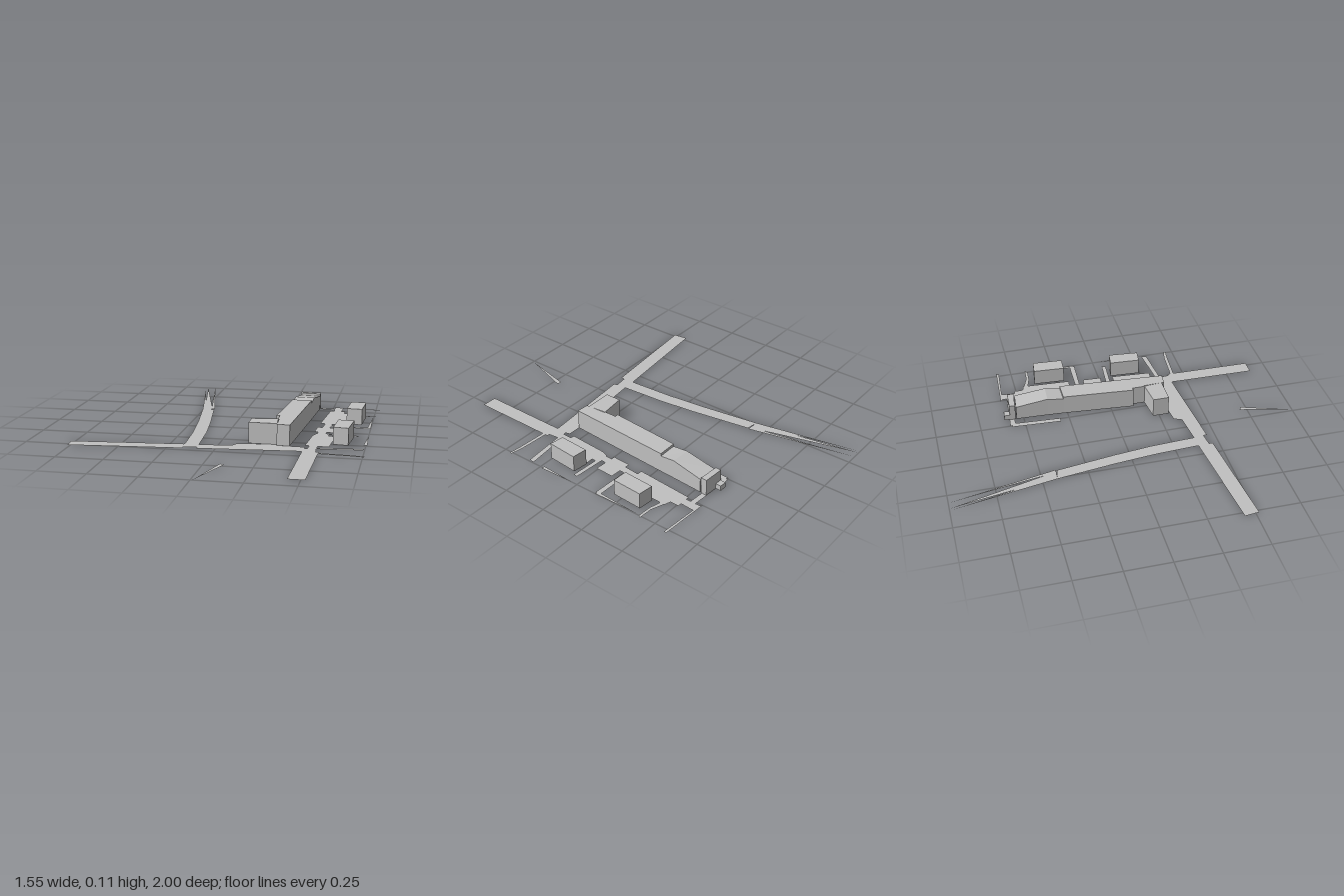
import * as THREE from 'three';

const concrete = new THREE.MeshStandardMaterial({ color: 0xc0c0c0, side: THREE.DoubleSide });
concrete.name = 'pale grey';

// Outline of [x, z] corners, turned counter-clockwise seen from above; optional third value is the roof height
function ordered(corners) {
  const flat = corners.map(([x, z]) => new THREE.Vector2(x, -z));
  return THREE.ShapeUtils.isClockWise(flat) ? [...corners].reverse() : corners;
}

// Solid with upright walls, a roof through the corner heights and an open base; height 0 gives a flat sheet
function block(name, corners, height = 0) {
  const c = ordered(corners).map(([x, z, h = height]) => [x, z, h]);
  const pos = [];
  const put = (p, y) => pos.push(p[0], y, p[1]);
  const faces = THREE.ShapeUtils.triangulateShape(c.map(([x, z]) => new THREE.Vector2(x, -z)), []);
  faces.flat().forEach(i => put(c[i], c[i][2]));
  c.forEach((a, i) => {
    const b = c[(i + 1) % c.length];
    if (a[2] + b[2] === 0) return;
    put(a, 0); put(b, 0); put(b, b[2]);
    put(a, 0); put(b, b[2]); put(a, a[2]);
  });
  const geo = new THREE.BufferGeometry();
  geo.setAttribute('position', new THREE.Float32BufferAttribute(pos, 3));
  geo.computeVertexNormals();
  const mesh = new THREE.Mesh(geo, concrete);
  mesh.name = name;
  return mesh;
}

function group(name, children) {
  const g = new THREE.Group();
  g.name = name;
  g.add(...children);
  return g;
}

export function createModel() {
  // Long hall with a sloping rear roof, a side annex and a small rear shed
  const hall = group('hall', [
    block('mainHall', [[0.265, 0.13], [0.297, -0.27], [0.405, -0.27], [0.365, 0.325],
      [0.297, 0.32], [0.292, 0.2], [0.285, 0.2], [0.285, 0.13]], 0.112),
    block('annex', [[0.147, 0.215], [0.287, 0.2], [0.297, 0.305], [0.147, 0.305]], 0.112),
    block('risingRoofSection', [[0.297, -0.27, 0.097], [0.302, -0.36, 0.109],
      [0.41, -0.355, 0.109], [0.405, -0.27, 0.097]]),
    block('slopingRoofSection', [[0.302, -0.36, 0.109], [0.309, -0.54, 0.08],
      [0.422, -0.53, 0.08], [0.41, -0.355, 0.109]]),
    block('rearBlock', [[0.309, -0.545], [0.31, -0.577], [0.425, -0.57], [0.422, -0.535]], 0.093),
    block('rearShed', [[0.312, -0.577], [0.313, -0.608], [0.352, -0.606], [0.35, -0.575]], 0.03),
  ]);

  // Two detached houses
  const houses = group('houses', [
    block('rearHouse', [[0.62, -0.38], [0.705, -0.37], [0.695, -0.2], [0.61, -0.205]], 0.089),
    block('frontHouse', [[0.59, 0.075], [0.675, 0.085], [0.66, 0.255], [0.58, 0.245]], 0.092),
  ]);

  // Roads and junctions
  const roads = group('roads', [
    block('westRoad', [[-0.775, 0.44], [-0.175, 0.383], [-0.17, 0.466], [-0.765, 0.52]]),
    block('westJunction', [[-0.18, 0.38], [-0.1, 0.38], [-0.095, 0.437], [-0.17, 0.445]]),
    block('middleRoad', [[-0.1, 0.38], [0.07, 0.363], [0.09, 0.32], [0.29, 0.3], [0.3, 0.322],
      [0.44, 0.325], [0.46, 0.41], [-0.095, 0.457]]),
    block('eastJunction', [[0.44, 0.35], [0.505, 0.35], [0.51, 0.41], [0.45, 0.415]]),
    block('southRoad', [[0.44, 0.41], [0.525, 0.41], [0.52, 0.9], [0.435, 0.9]]),
    block('northRoad', [[0.46, 0.36], [0.505, 0.36], [0.52, 0.02], [0.535, -0.2],
      [0.495, -0.2], [0.475, 0.02]]),
    block('northRoadEnd', [[0.51, -0.595], [0.56, -0.595], [0.553, -0.5], [0.51, -0.5]]),
    block('northWestRoad', [[-0.175, 0.39], [-0.19, 0.13], [-0.215, -0.1], [-0.26, -0.42],
      [-0.19, -0.41], [-0.14, -0.08], [-0.115, 0.13], [-0.1, 0.39]]),
    ...[[-0.37, -0.26, -0.24], [-0.355, -0.25, -0.2], [-0.31, -0.207, -0.185]].map(([tip, a, b]) =>
      block('taperingLane', [[tip, -1], [a, -0.42], [b, -0.415]])),
  ]);

  // Widened paving along the north road
  const paving = group('paving', [
    block('frontYard', [[0.455, 0.08], [0.47, 0.04], [0.54, 0.05], [0.54, 0.08], [0.58, 0.08],
      [0.565, 0.305], [0.44, 0.295]]),
    block('middleYard', [[0.46, -0.105], [0.59, -0.095], [0.585, 0.01], [0.455, 0]]),
    block('rearYard', [[0.49, -0.51], [0.575, -0.51], [0.575, -0.46], [0.61, -0.45],
      [0.597, -0.18], [0.465, -0.19]]),
  ]);

  // Paths, driveways and slivers of kerb
  const outlines = [
    [[0.25, -0.585], [0.52, -0.565], [0.52, -0.535], [0.255, -0.555]],
    [[0.24, -0.58], [0.27, -0.565], [0.255, -0.3], [0.225, -0.3]],
    [[0.495, -0.602], [0.775, -0.585], [0.77, -0.57], [0.51, -0.59]],
    [[0.6, -0.45], [0.68, -0.42], [0.763, -0.415], [0.75, -0.4], [0.67, -0.405], [0.6, -0.425]],
    [[0.49, -0.165], [0.55, -0.15], [0.74, -0.145], [0.74, -0.115], [0.53, -0.125]],
    [[0.5, 0.03], [0.7, 0.045], [0.695, 0.068], [0.5, 0.055]],
    [[0.5, 0.33], [0.745, 0.305], [0.74, 0.335], [0.5, 0.355]],
    [[0.52, 0.425], [0.7, 0.437], [0.76, 0.45], [0.755, 0.463], [0.69, 0.455], [0.52, 0.445]],
    [[0.745, -0.385], [0.75, -0.12], [0.73, -0.125]],
    [[0.75, 0.04], [0.757, 0.235], [0.737, 0.235]],
    [[0.08, 0.71], [0.105, 0.72], [0.01, 1]],
  ];
  const paths = group('paths', outlines.map(o => block('path', o)));

  return group('streetBlock', [hall, houses, roads, paving, paths]);
}
